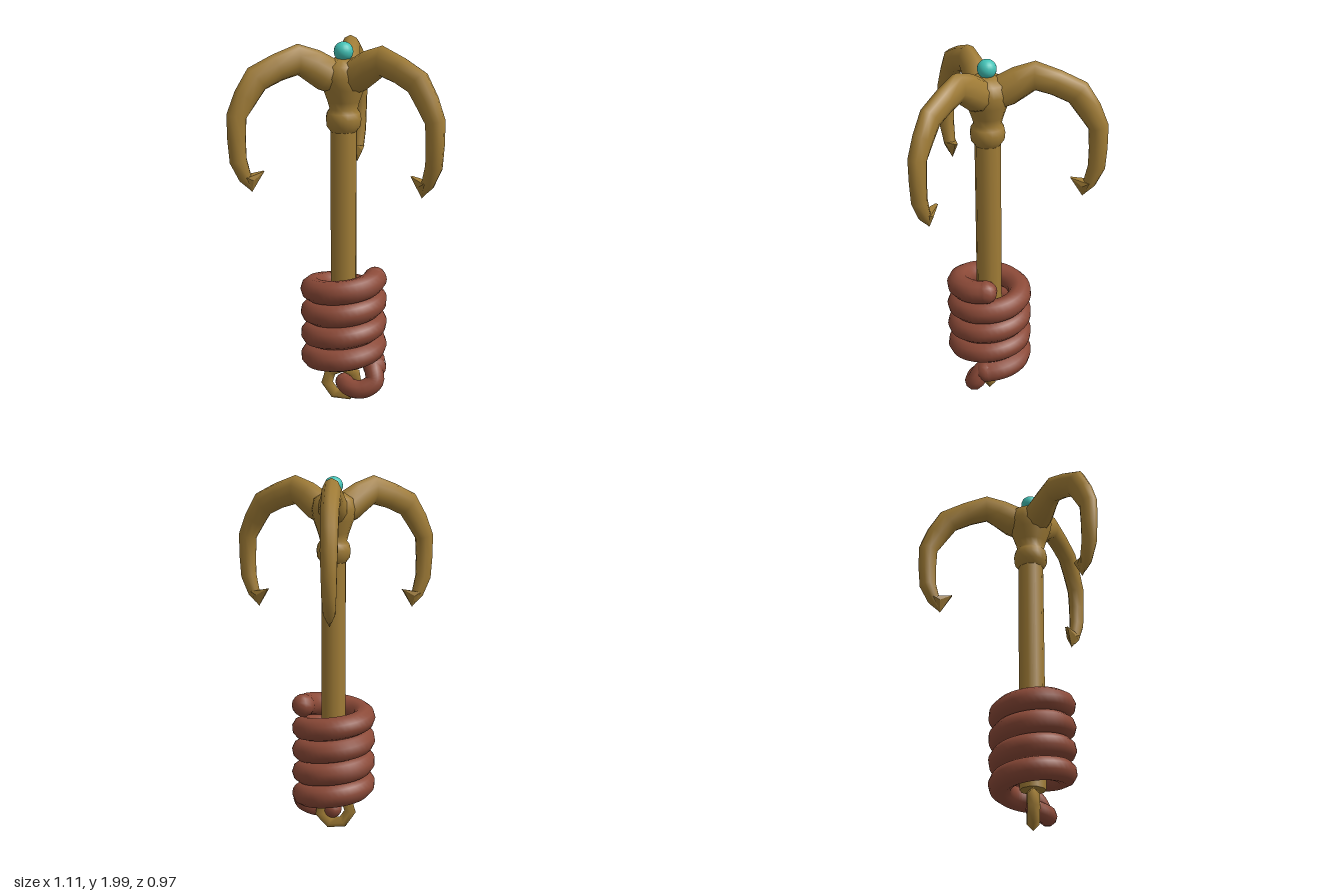
import * as THREE from 'three';
import { ConvexGeometry } from 'three/addons/geometries/ConvexGeometry.js';

const brass = new THREE.MeshStandardMaterial({ color: 0xa07c36 });
brass.name = 'brass';
const rope = new THREE.MeshStandardMaterial({ color: 0x8c4a38 });
rope.name = 'rope';
const teal = new THREE.MeshStandardMaterial({ color: 0x42c2b6 });
teal.name = 'teal';

function part(parent, name, geometry, material, x = 0, y = 0, z = 0) {
  const mesh = new THREE.Mesh(geometry, material);
  mesh.name = name;
  mesh.position.set(x, y, z);
  parent.add(mesh);
  return mesh;
}

// Elliptical loft along a path in the xy plane; rows are [x, y, half height, half width]
function loft(rows, sides = 10) {
  const pos = [], index = [];
  rows.forEach(([x, y, h, w], i) => {
    const a = rows[Math.max(i - 1, 0)], b = rows[Math.min(i + 1, rows.length - 1)];
    const t = new THREE.Vector2(b[0] - a[0], b[1] - a[1]).normalize();
    for (let j = 0; j < sides; j++) {
      const u = (j / sides) * Math.PI * 2;
      pos.push(x - t.y * h * Math.cos(u), y + t.x * h * Math.cos(u), w * Math.sin(u));
      if (i < rows.length - 1) {
        const k = (j + 1) % sides, p = i * sides, q = p + sides;
        index.push(p + j, p + k, q + j, p + k, q + k, q + j);
      }
    }
  });
  const g = new THREE.BufferGeometry();
  g.setAttribute('position', new THREE.Float32BufferAttribute(pos, 3));
  g.setIndex(index);
  g.computeVertexNormals();
  return g;
}

// Rope length with rounded ends
function ropeTube(parent, name, points, radius, segments) {
  const curve = new THREE.CatmullRomCurve3(points);
  part(parent, name, new THREE.TubeGeometry(curve, segments, radius, 10), rope);
  for (const p of [points[0], points[points.length - 1]]) {
    part(parent, name + 'End', new THREE.SphereGeometry(radius, 10, 8), rope, p.x, p.y, p.z);
  }
}

export function createModel() {
  const model = new THREE.Group();
  model.name = 'grapplingHook';
  const body = new THREE.Group();
  body.name = 'body';
  body.position.z = 0.15;
  model.add(body);

  // Shaft, collar and flared hub
  part(body, 'shaft', new THREE.CylinderGeometry(0.07, 0.07, 1.36, 10), brass, 0, 0.9, 0);
  const hub = [[0.068, 1.53], [0.09, 1.56], [0.094, 1.6], [0.088, 1.63], [0.074, 1.65], [0.085, 1.69],
    [0.11, 1.76], [0.122, 1.82], [0.11, 1.88], [0.06, 1.91], [0, 1.915]];
  part(body, 'hub', new THREE.LatheGeometry(hub.map(([r, y]) => new THREE.Vector2(r, y)), 16), brass);
  part(body, 'ball', new THREE.SphereGeometry(0.051, 20, 14), teal, 0, 1.948, 0);

  // Three curved arms with barbed points
  const armGeometry = loft([
    [0, 1.79, 0.08, 0.08], [0.1, 1.84, 0.09, 0.08], [0.17, 1.885, 0.085, 0.064],
    [0.25, 1.92, 0.08, 0.054], [0.36, 1.885, 0.072, 0.052], [0.47, 1.835, 0.073, 0.05],
    [0.53, 1.745, 0.066, 0.048], [0.58, 1.65, 0.054, 0.047], [0.582, 1.53, 0.049, 0.043],
    [0.576, 1.42, 0.046, 0.04], [0.54, 1.325, 0.034, 0.032], [0.515, 1.28, 0.015, 0.014],
  ]);
  const barbGeometry = new ConvexGeometry([
    [0.505, 1.25, 0], [0.57, 1.315, 0], [0.54, 1.335, 0.036], [0.54, 1.335, -0.036],
    [0.505, 1.315, 0.03], [0.505, 1.315, -0.03], [0.44, 1.355, 0.008], [0.44, 1.355, -0.008],
  ].map((p) => new THREE.Vector3(...p)));
  for (const degrees of [90, 210, 330]) {
    const arm = new THREE.Group();
    arm.name = 'arm';
    arm.rotation.y = THREE.MathUtils.degToRad(degrees);
    part(arm, 'curvedArm', armGeometry, brass);
    part(arm, 'barb', barbGeometry, brass);
    body.add(arm);
  }

  // Angular eye at the foot of the shaft
  const eye = part(body, 'eye', new THREE.TorusGeometry(0.085, 0.033, 4, 7), brass, -0.01, 0.122, 0);
  eye.rotation.z = THREE.MathUtils.degToRad(-68);

  // Coiled rope, descending from the left side through the front
  const turns = 4, steps = 16, coil = [];
  for (let i = 0; i <= turns * steps; i++) {
    const u = (i / steps) * Math.PI * 2;
    coil.push(new THREE.Vector3(0.17 * Math.cos(u), 0.725 - (0.127 * i) / steps, 0.17 * Math.sin(u)));
  }
  ropeTube(body, 'ropeCoil', coil, 0.065, 160);

  // Loose end hooked through the eye
  const tail = [[0.15, 0.25, -0.02], [0.17, 0.21, 0.03], [0.178, 0.155, 0.06], [0.12, 0.115, 0.08],
    [0.05, 0.11, 0.065], [0.005, 0.12, 0.01]];
  ropeTube(body, 'ropeTail', tail.map((p) => new THREE.Vector3(...p)), 0.051, 24);

  return model;
}
